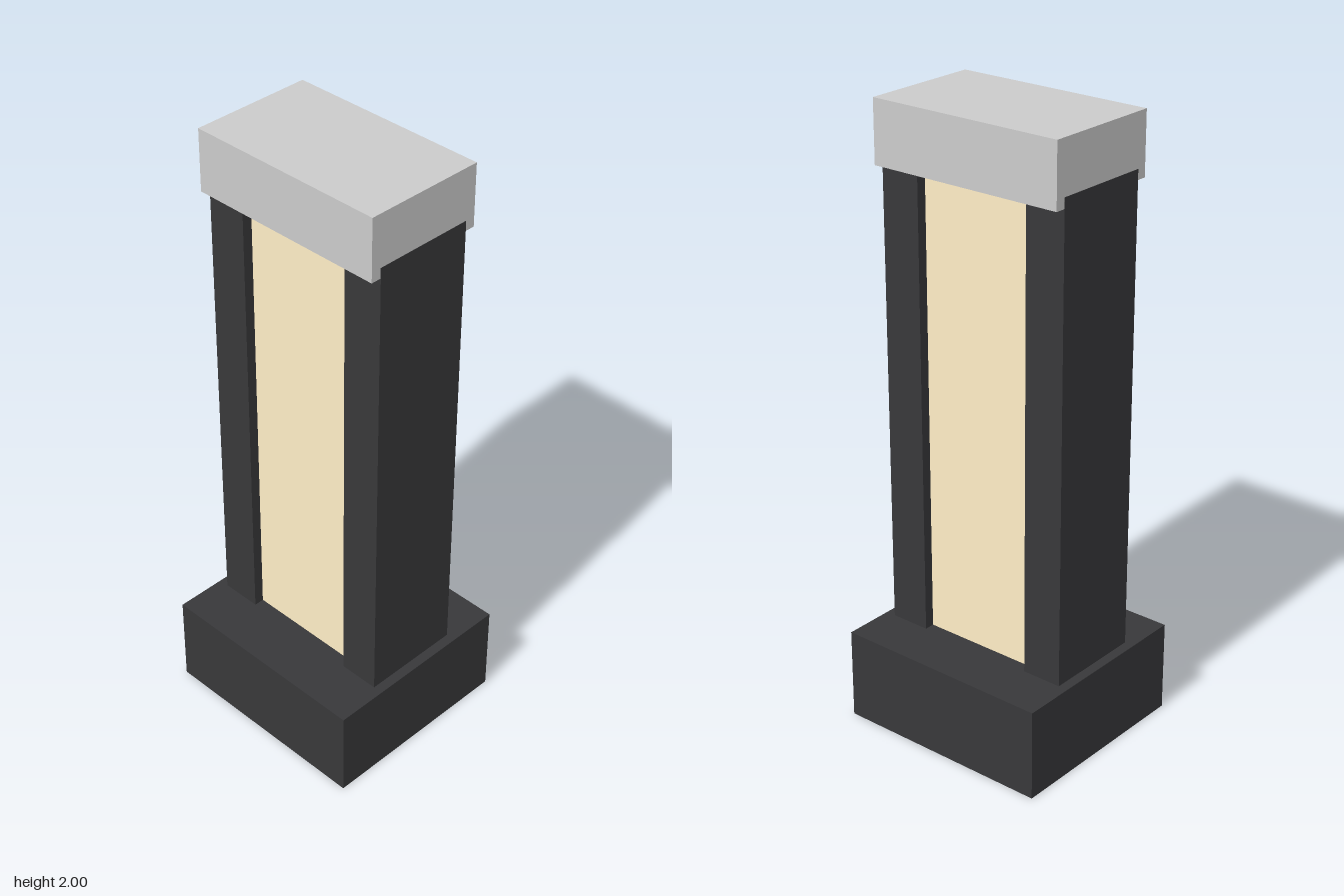
import * as THREE from 'three';

const material = (color) => new THREE.MeshStandardMaterial({ color });

export function createModel() {
  const model = new THREE.Group();
  model.name = 'pillarLamp';

  const dark = material(0x38383a);
  const cream = material(0xffeec6);
  const grey = material(0xcccccc);

  // Box of a given width and depth, spanning from bottom to top
  function addBox(name, mat, width, depth, bottom, top, x = 0) {
    const mesh = new THREE.Mesh(new THREE.BoxGeometry(width, top - bottom, depth), mat);
    mesh.position.set(x, (bottom + top) / 2, 0);
    mesh.name = name;
    model.add(mesh);
  }

  // Plinth
  addBox('base', dark, 0.733, 0.667, 0, 0.3);

  // Side posts, let into the cap and a hair proud of its ends
  for (const [name, side] of [['leftPost', 1], ['rightPost', -1]]) {
    addBox(name, dark, 0.134, 0.333, 0.3, 1.833, side * 0.267);
  }

  // Pale panel, recessed between the posts
  addBox('panel', cream, 0.4, 0.267, 0.3, 1.82);

  // Cap
  addBox('cap', grey, 0.666, 0.4, 1.8, 2);

  return model;
}
